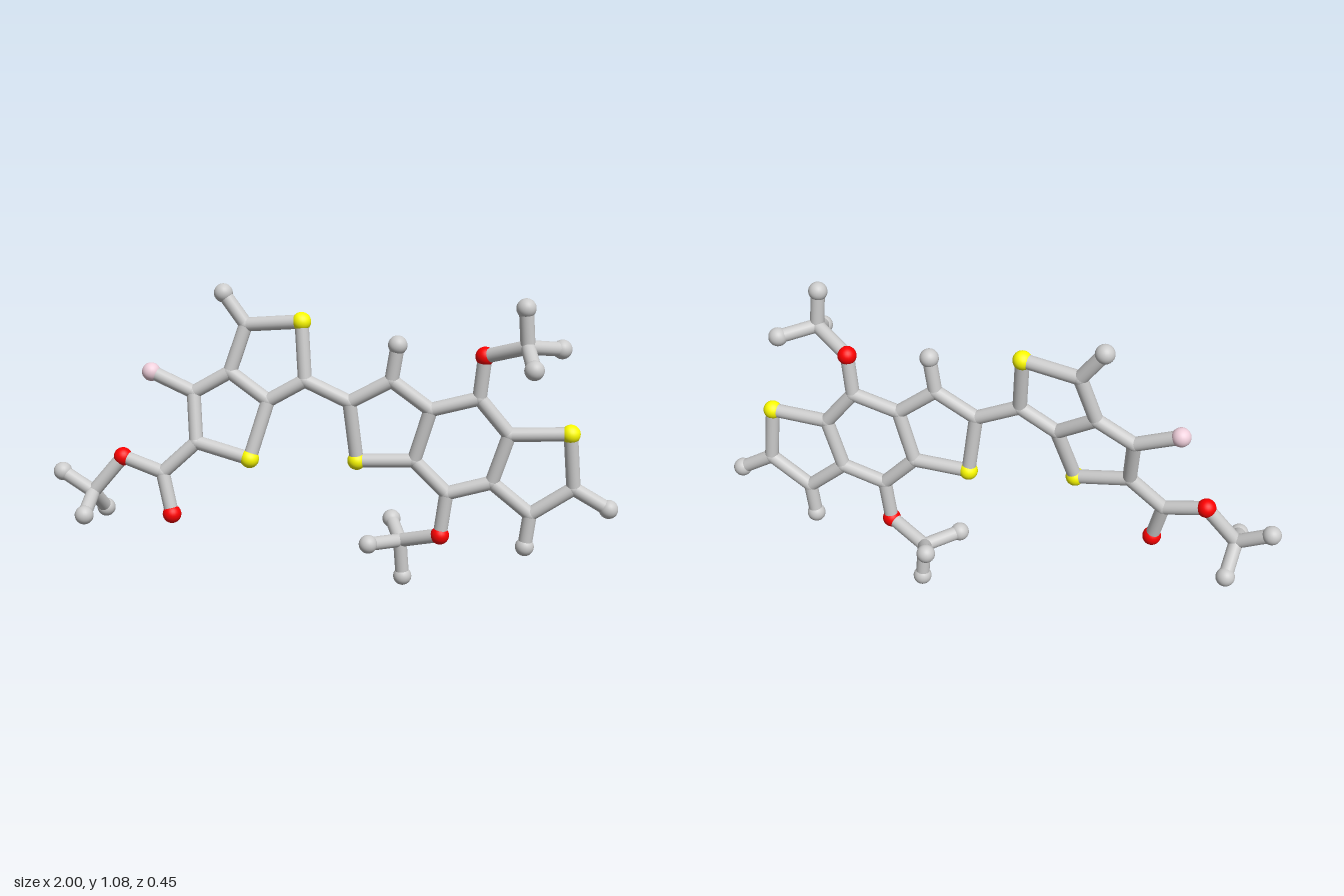
import * as THREE from 'three';

const BOND_R = 0.0245;
const BALL_R = 0.033;

// Joints of the frame: name: [kind, x, y, z]; c = plain joint, h = grey tip, s / o / f = coloured ball
const ATOMS = {
  // left fused pair of five-sided rings
  s1: ['s', -0.10, 0.965, -0.04], a1: ['c', -0.30, 0.945, -0.068],
  a2: ['c', -0.355, 0.78, -0.045], a3: ['c', -0.215, 0.69, -0.01], a4: ['c', -0.085, 0.765, -0.01],
  a5: ['c', -0.485, 0.705, -0.04], a6: ['c', -0.47, 0.535, 0.005], s2: ['s', -0.275, 0.49, 0.033],
  h1: ['h', -0.38, 1.052, -0.08], f1: ['f', -0.64, 0.77, -0.057],
  // left side branch
  b1: ['c', -0.59, 0.425, 0.022], o1: ['o', -0.555, 0.28, 0.046], o2: ['o', -0.74, 0.47, -0.005],
  b2: ['c', -0.85, 0.34, 0.01], h2: ['h', -0.967, 0.405, -0.012],
  h3: ['h', -0.833, 0.253, -0.082], h4: ['h', -0.85, 0.29, 0.13],
};
// right run of three rings
Object.assign(ATOMS, {
  d1: ['c', 0.07, 0.695, -0.005], d2: ['c', 0.215, 0.775, -0.003], d3: ['c', 0.35, 0.675, -0.01],
  d4: ['c', 0.295, 0.49, -0.018], s3: ['s', 0.095, 0.482, -0.02], h5: ['h', 0.235, 0.90, 0.002],
  d5: ['c', 0.515, 0.72, -0.01], d6: ['c', 0.62, 0.595, -0.014], d7: ['c', 0.565, 0.42, -0.02],
  d8: ['c', 0.41, 0.375, -0.02], s4: ['s', 0.827, 0.605, -0.01], d9: ['c', 0.845, 0.41, -0.02],
  d10: ['c', 0.70, 0.31, -0.022], h6: ['h', 0.967, 0.34, -0.02], h7: ['h', 0.686, 0.19, -0.023],
  // upper side branch
  o3: ['o', 0.53, 0.868, -0.003], e1: ['c', 0.67, 0.92, 0.083],
  h8: ['h', 0.66, 1.05, 0.09], h9: ['h', 0.785, 0.90, 0.003], h10: ['h', 0.692, 0.865, 0.19],
  // lower side branch
  o4: ['o', 0.39, 0.22, -0.02], e2: ['c', 0.245, 0.172, -0.085],
  h11: ['h', 0.14, 0.185, 0.01], h12: ['h', 0.255, 0.035, -0.09], h13: ['h', 0.205, 0.218, -0.19],
});

// Chains of joints linked by rods
const CHAINS = {
  leftRings: ['a4 s1 a1 a2 a3 a4', 'a2 a5 a6 s2 a3', 'a1 h1', 'a5 f1'],
  leftBranch: ['a6 b1 o2 b2 h2', 'b1 o1', 'b2 h3', 'b2 h4'],
  bridge: ['a4 d1'],
  rightRings: ['d1 d2 d3 d4 s3 d1', 'd3 d5 d6 d7 d8 d4', 'd6 s4 d9 d10 d7', 'd2 h5', 'd9 h6', 'd10 h7'],
  upperBranch: ['d5 o3 e1 h8', 'e1 h9', 'e1 h10'],
  lowerBranch: ['d8 o4 e2 h11', 'e2 h12', 'e2 h13'],
};

const KINDS = {
  c: { name: 'joint', color: 0xcccccc, r: BOND_R + 0.001 },
  h: { name: 'tipBall', color: 0xcccccc, r: BALL_R },
  s: { name: 'yellowBall', color: 0xffff00, r: BALL_R },
  o: { name: 'redBall', color: 0xff0000, r: BALL_R },
  f: { name: 'pinkBall', color: 0xf0d0dc, r: BALL_R },
};

export function createModel() {
  const model = new THREE.Group();
  model.name = 'ballAndRodModel';
  const rodMat = new THREE.MeshStandardMaterial({ color: 0xcccccc });
  const rodGeo = new THREE.CylinderGeometry(BOND_R, BOND_R, 1, 20, 1, true);
  for (const kind of Object.values(KINDS)) {
    kind.geo = new THREE.SphereGeometry(kind.r, 24, 16);
    kind.mat = new THREE.MeshStandardMaterial({ color: kind.color });
  }
  const place = (id) => new THREE.Vector3(...ATOMS[id].slice(1));
  const up = new THREE.Vector3(0, 1, 0);

  // Rods, grouped by region
  for (const [part, chains] of Object.entries(CHAINS)) {
    const group = new THREE.Group();
    group.name = part;
    for (const chain of chains) {
      const ids = chain.split(' ');
      for (let i = 1; i < ids.length; i++) {
        const a = place(ids[i - 1]), b = place(ids[i]);
        const dir = b.clone().sub(a);
        const rod = new THREE.Mesh(rodGeo, rodMat);
        rod.name = 'rod';
        rod.scale.y = dir.length();
        rod.position.copy(a).add(b).multiplyScalar(0.5);
        rod.quaternion.setFromUnitVectors(up, dir.normalize());
        group.add(rod);
      }
    }
    model.add(group);
  }

  // Balls and rounded joints
  const balls = new THREE.Group();
  balls.name = 'balls';
  for (const id of Object.keys(ATOMS)) {
    const kind = KINDS[ATOMS[id][0]];
    const ball = new THREE.Mesh(kind.geo, kind.mat);
    ball.name = kind.name;
    ball.position.copy(place(id));
    balls.add(ball);
  }
  model.add(balls);
  return model;
}
